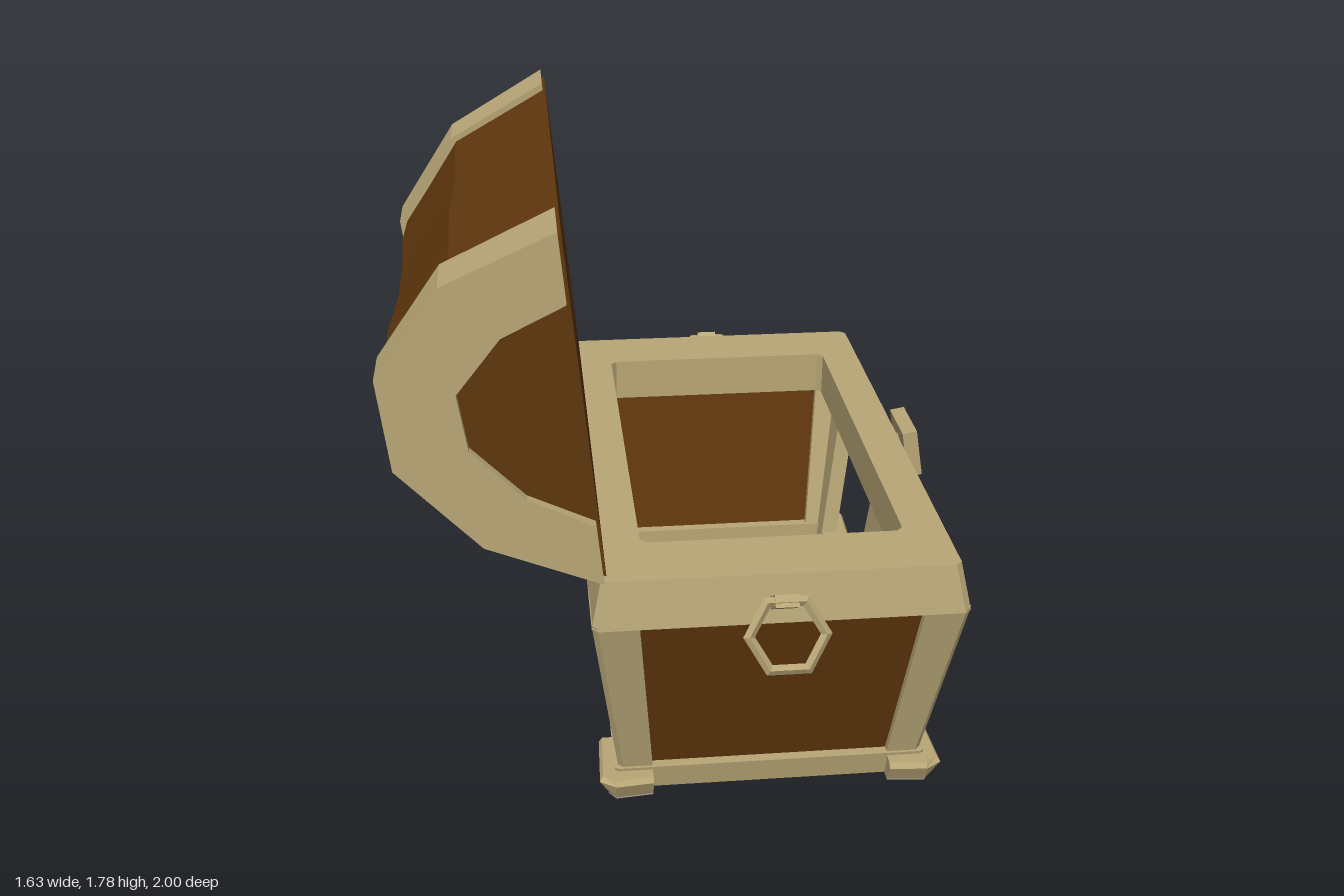
import * as THREE from 'three';

const tan = new THREE.MeshStandardMaterial({ color: 0xb9a777 });
tan.name = 'pale trim';
const brown = new THREE.MeshStandardMaterial({ color: 0x5f370e });
brown.name = 'dark wood';
const grey = new THREE.MeshStandardMaterial({ color: 0xa6a6a6 });
grey.name = 'grey base';

// Skin a list of equal-length rings; ends are capped on the given axes, or the rings loop round.
function loft(rings, capAxes) {
  const n = rings[0].length, m = rings.length;
  const pts = rings.flat(), idx = [];
  for (let i = 0; i < (capAxes ? m - 1 : m); i++) {
    for (let j = 0; j < n; j++) {
      const a = i * n + j, b = i * n + (j + 1) % n;
      const k = ((i + 1) % m) * n, c = k + (j + 1) % n, d = k + j;
      idx.push([a, b, c], [a, c, d]);
    }
  }
  if (capAxes) {
    const [u, v] = capAxes;
    const flat = rings[0].map(p => new THREE.Vector2(p[u], p[v]));
    const cw = THREE.ShapeUtils.isClockWise(flat);
    for (const t of THREE.ShapeUtils.triangulateShape(flat, [])) {
      const [a, b, c] = t.map(i => flat[i]);
      const triCw = (b.x - a.x) * (c.y - a.y) - (b.y - a.y) * (c.x - a.x) < 0;
      const f = triCw === cw ? t : [t[0], t[2], t[1]];
      idx.push([f[0], f[2], f[1]], f.map(i => i + (m - 1) * n));
    }
  }
  // Turn everything outward if the enclosed volume came out negative
  let volume = 0;
  const V = i => new THREE.Vector3(...pts[i]);
  for (const [a, b, c] of idx) volume += V(a).dot(V(b).cross(V(c)));
  const order = volume < 0 ? idx.map(([a, b, c]) => [a, c, b]) : idx;
  const g = new THREE.BufferGeometry();
  g.setAttribute('position', new THREE.Float32BufferAttribute(order.flat().flatMap(i => pts[i]), 3));
  g.computeVertexNormals();
  return g;
}

function add(parent, name, geometry, material) {
  const mesh = new THREE.Mesh(geometry, material);
  mesh.name = name;
  parent.add(mesh);
  return mesh;
}

// Half-width and half-depth of the flaring body at height y
const hx = y => 0.447 + (y - 0.05) * 0.128;
const hz = y => 0.71 + (y - 0.05) * 0.238;

// Rectangular frame swept from [halfX, halfZ, y] profile points
function frame(profile, c) {
  return loft(profile.map(([x, z, y]) => [
    [x - c, y, z], [x, y, z - c], [x, y, c - z], [x - c, y, -z],
    [c - x, y, -z], [-x, y, c - z], [-x, y, z - c], [c - x, y, z]]));
}

function buildBody() {
  const body = new THREE.Group();
  body.name = 'body';
  body.position.x = 0.245;

  add(body, 'topRail', frame([[0.525, 0.858, 0.65], [0.495, 0.83, 0.79], [0.375, 0.63, 0.79], [0.375, 0.63, 0.65]], 0.018), tan);
  add(body, 'bottomRail', frame([[0.452, 0.712, 0.004], [0.462, 0.727, 0.085], [0.4, 0.655, 0.085], [0.4, 0.655, 0.004]], 0.01), tan);
  const floor = new THREE.BoxGeometry(0.894, 0.02, 1.41);
  floor.translate(0, 0.01, 0);
  add(body, 'floor', floor, grey);

  for (const sx of [-1, 1]) for (const sz of [-1, 1]) {
    // L-shaped corner posts; one has a chip knocked out of its edge
    const chipped = sx === 1 && sz === -1;
    const levels = chipped ? [[0.05, 0.015], [0.43, 0.015], [0.5, 0.085], [0.54, 0.015], [0.66, 0.015]]
      : [[0.05, 0.015], [0.66, 0.015]];
    const rings = levels.map(([y, c]) => {
      const x = hx(y), z = hz(y), t = 0.055, f = (y - 0.05) / 0.61;
      const wx = 0.1 + 0.03 * f, wz = 0.13 + 0.065 * f;
      return [[x - wx, z], [x - c, z], [x, z - c], [x, z - wz], [x - t, z - wz], [x - t, z - t], [x - wx, z - t]]
        .map(([a, b]) => [sx * a, y, sz * b]);
    });
    add(body, 'cornerPost', loft(rings, [0, 2]), tan);

    // Feet wrapping the corners, with grey soles
    const foot = (y, o) => [[0.35, 0.69], [0.35, 0.745 + o], [0.46, 0.755 + o], [0.482 + o, 0.725 + o],
      [0.475 + o, 0.56], [0.43, 0.56], [0.42, 0.69]].map(([a, b]) => [sx * a, y, sz * b]);
    add(body, 'foot', loft([foot(0.004, 0), foot(0.06, 0.025), foot(0.075, 0.015)], [0, 2]), tan);
    add(body, 'sole', loft([foot(0, 0), foot(0.004, 0)], [0, 2]), grey);
  }

  // Inset panels on both ends and the back; the front stays open
  const r = 0.022, t = 0.03;
  for (const s of [-1, 1]) {
    add(body, 'endPanel', loft([0.05, 0.66].map(y => {
      const x = hx(y) - 0.04, z = hz(y);
      return [[-x, y, s * (z - r)], [x, y, s * (z - r)], [x, y, s * (z - t)], [-x, y, s * (z - t)]];
    }), [0, 2]), brown);
  }
  add(body, 'backPanel', loft([0.05, 0.66].map(y => {
    const x = hx(y), z = hz(y) - 0.04;
    return [[r - x, y, -z], [r - x, y, z], [t - x, y, z], [t - x, y, -z]];
  }), [0, 2]), brown);
  add(body, 'centrePost', loft([0.05, 0.66].map(y => {
    const x = hx(y);
    return [[x, y, -0.095], [x, y, 0.087], [x - 0.05, y, 0.087], [x - 0.05, y, -0.095]];
  }), [0, 2]), tan);

  // Hexagonal ring handles on slanted brackets
  for (const s of [-1, 1]) {
    const bracket = add(body, 'handleBracket', new THREE.BoxGeometry(0.065, 0.035, 0.12), tan);
    bracket.position.set(-0.005, 0.725, s * 0.87);
    bracket.rotation.x = -0.6 * s;
    const hoop = new THREE.TorusGeometry(0.105, 0.016, 4, 6).toNonIndexed();
    hoop.computeVertexNormals();
    const handle = add(body, 'ringHandle', hoop, tan);
    handle.position.set(-0.005, 0.668, s * 0.947);
    handle.rotation.x = -0.43 * s;
  }

  // Lock plate with a teardrop keyhole
  const plate = new THREE.Shape([[-0.09, -0.075], [0.09, -0.075], [0.09, 0.08], [-0.09, 0.08]].map(p => new THREE.Vector2(...p)));
  plate.holes.push(new THREE.Path([[0, -0.055], [-0.025, 0], [-0.022, 0.03], [0, 0.042], [0.022, 0.03], [0.025, 0]]
    .map(p => new THREE.Vector2(...p))));
  const lock = new THREE.ExtrudeGeometry(plate, { depth: 0.046, bevelEnabled: false });
  lock.translate(0, 0, -0.023);
  lock.rotateY(Math.PI / 2);
  const lockMesh = add(body, 'lockPlate', lock, tan);
  lockMesh.position.set(0.534, 0.745, -0.004);
  lockMesh.rotation.z = 0.17;
  return body;
}

function buildLid() {
  const lid = new THREE.Group();
  lid.name = 'lid';
  const face = y => -0.235 - (y - 0.79) * 0.097;
  const depth = ([x, y]) => face(y) - x;
  const outer = [[-0.242, 0.782], [-0.56, 0.872], [-0.79, 1.09], [-0.82, 1.355], [-0.64, 1.62], [-0.34, 1.78]];
  const inner = [[-0.26, 0.962], [-0.44, 1.03], [-0.585, 1.165], [-0.61, 1.325], [-0.49, 1.49], [-0.322, 1.59]];

  // Barrel of worn planks behind a flat inner face
  const barrel = outer.map(([x, y], i) => {
    const py = 1.277 + (y - 1.277) * 0.965;
    const d = i === 0 || i === 5 ? 0 : depth([x, y]) * 0.95;
    return [d, i === 0 ? 0.79 : i === 5 ? 1.763 : py];
  });
  const rings = [-1, -0.55, -0.2, 0.15, 0.55, 1].map((f, k) => barrel.map(([d, y], i) => {
    const wear = Math.abs(f) === 1 ? 1 : 1 + 0.02 * Math.sin(k * 2.3 + i * 1.7);
    return [face(y) - d * wear, y, f * (0.8 - 0.2 * d)];
  }));
  add(lid, 'lidBarrel', loft(rings, [0, 1]), brown);

  // Arched bands capping both ends
  const arch = [...outer, ...inner.slice().reverse()];
  for (const s of [-1, 1]) {
    const near = arch.map(p => [p[0], p[1], s * (0.638 - 0.15 * depth(p))]);
    const far = arch.map(p => [p[0], p[1], s * (0.832 - 0.22 * depth(p))]);
    add(lid, 'lidBand', loft([near, far], [0, 1]), tan);
  }
  return lid;
}

export function createModel() {
  const chest = new THREE.Group();
  chest.name = 'openChest';
  chest.add(buildBody(), buildLid());
  return chest;
}
